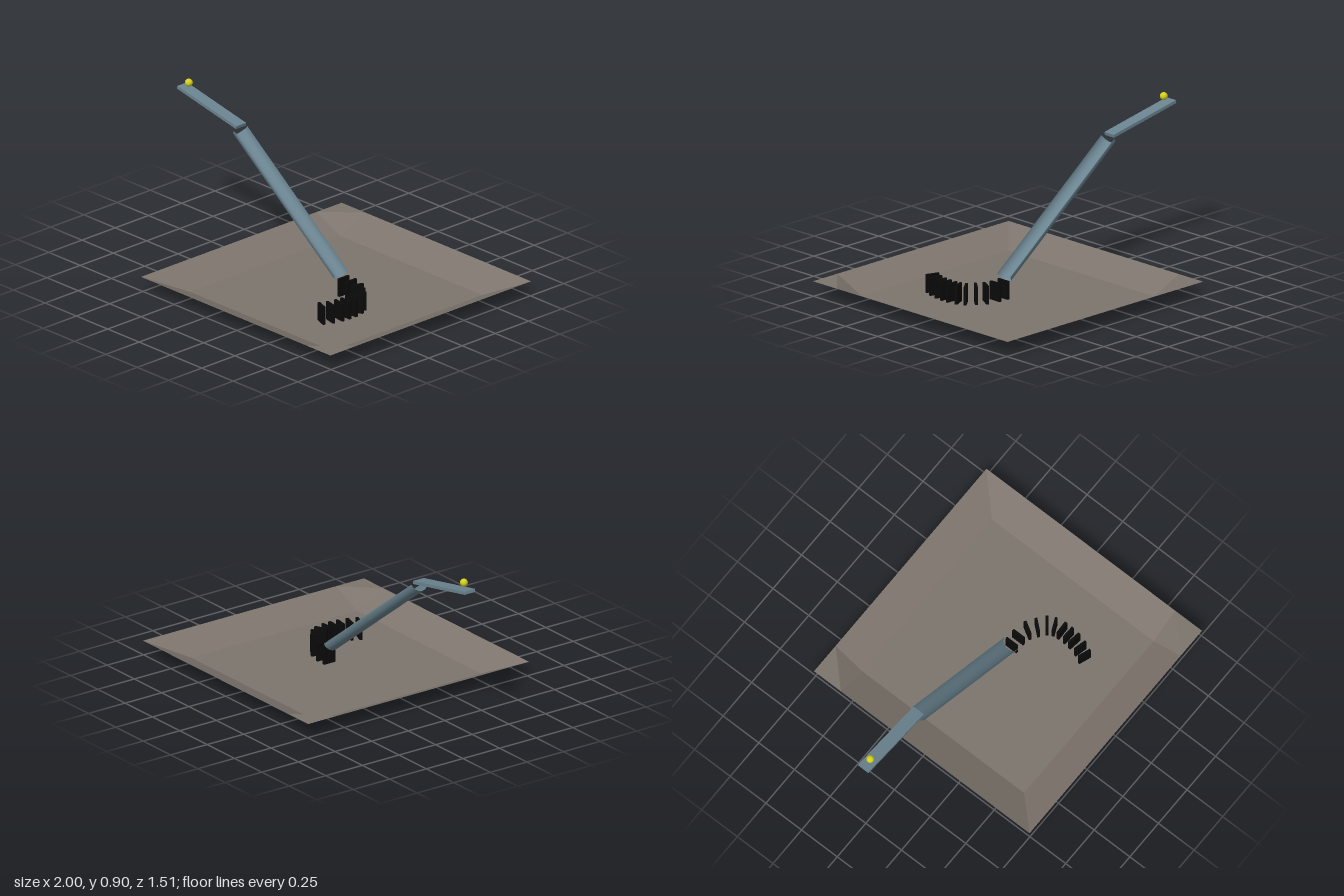
import * as THREE from 'three';

const colour = (name, hex, side = THREE.FrontSide) => {
  const m = new THREE.MeshStandardMaterial({ color: hex, side });
  m.name = name;
  return m;
};

export function createModel() {
  const stone = colour('warm grey', 0x7d756d, THREE.DoubleSide);
  const steel = colour('blue grey', 0x6a8490, THREE.DoubleSide);
  const black = colour('black', 0x0a0a0a);
  const yellow = colour('yellow', 0xd4d01c);

  const group = new THREE.Group();
  const add = (name, geometry, material, x, y, z) => {
    const mesh = new THREE.Mesh(geometry, material);
    mesh.name = name;
    mesh.position.set(x, y, z);
    group.add(mesh);
    return mesh;
  };

  // Tray: a thin gridded sheet whose outer ring of points is raised
  const size = 1.51, rim = 0.085;
  const sheet = new THREE.PlaneGeometry(size, size, 8, 8).rotateX(-Math.PI / 2);
  const p = sheet.attributes.position;
  for (let i = 0; i < p.count; i++) {
    const reach = Math.max(Math.abs(p.getX(i)), Math.abs(p.getZ(i)));
    p.setY(i, reach > size / 2 - 0.01 ? rim : 0);
  }
  const tray = sheet.toNonIndexed();
  tray.computeVertexNormals();
  add('tray', tray, stone, 0.245, 0, 0);

  // Gutter: an open half pipe, hollow side up, sloping down into the tray
  const low = new THREE.Vector2(0.283, 0.13), high = new THREE.Vector2(-0.52, 0.742);
  const run = high.clone().sub(low);
  const half = new THREE.CylinderGeometry(0.05, 0.05, run.length(), 20, 1, true, Math.PI, Math.PI);
  const gutter = add('gutter', half, steel, (low.x + high.x) / 2, (low.y + high.y) / 2, -0.005);
  gutter.rotation.z = Math.atan2(-run.x, run.y);

  // Upper ramp: a flat board tilted towards the gutter
  const ramp = add('upperRamp', new THREE.BoxGeometry(0.484, 0.018, 0.073), steel, -0.762, 0.8, -0.014);
  ramp.rotation.set(0, -0.01, -0.192);

  // Ball resting near the top of the ramp
  add('ball', new THREE.SphereGeometry(0.022, 24, 16), yellow, -0.943, 0.882, -0.014);

  // Dominoes along a curve: x, z and heading in degrees
  const course = [
    [0.293, -0.012, 0], [0.352, -0.012, 0], [0.414, 0.002, 30], [0.46, 0.033, 40],
    [0.503, 0.067, 52], [0.523, 0.105, 65], [0.53, 0.15, 88], [0.53, 0.195, 92],
    [0.525, 0.24, 98], [0.512, 0.293, 104], [0.49, 0.34, 110],
  ];
  const tile = new THREE.BoxGeometry(0.015, 0.105, 0.077);
  course.forEach(([x, z, heading], i) => {
    const domino = add(`domino${i + 1}`, tile, black, x, 0.056, z);
    domino.rotation.y = -THREE.MathUtils.degToRad(heading);
  });

  return group;
}
